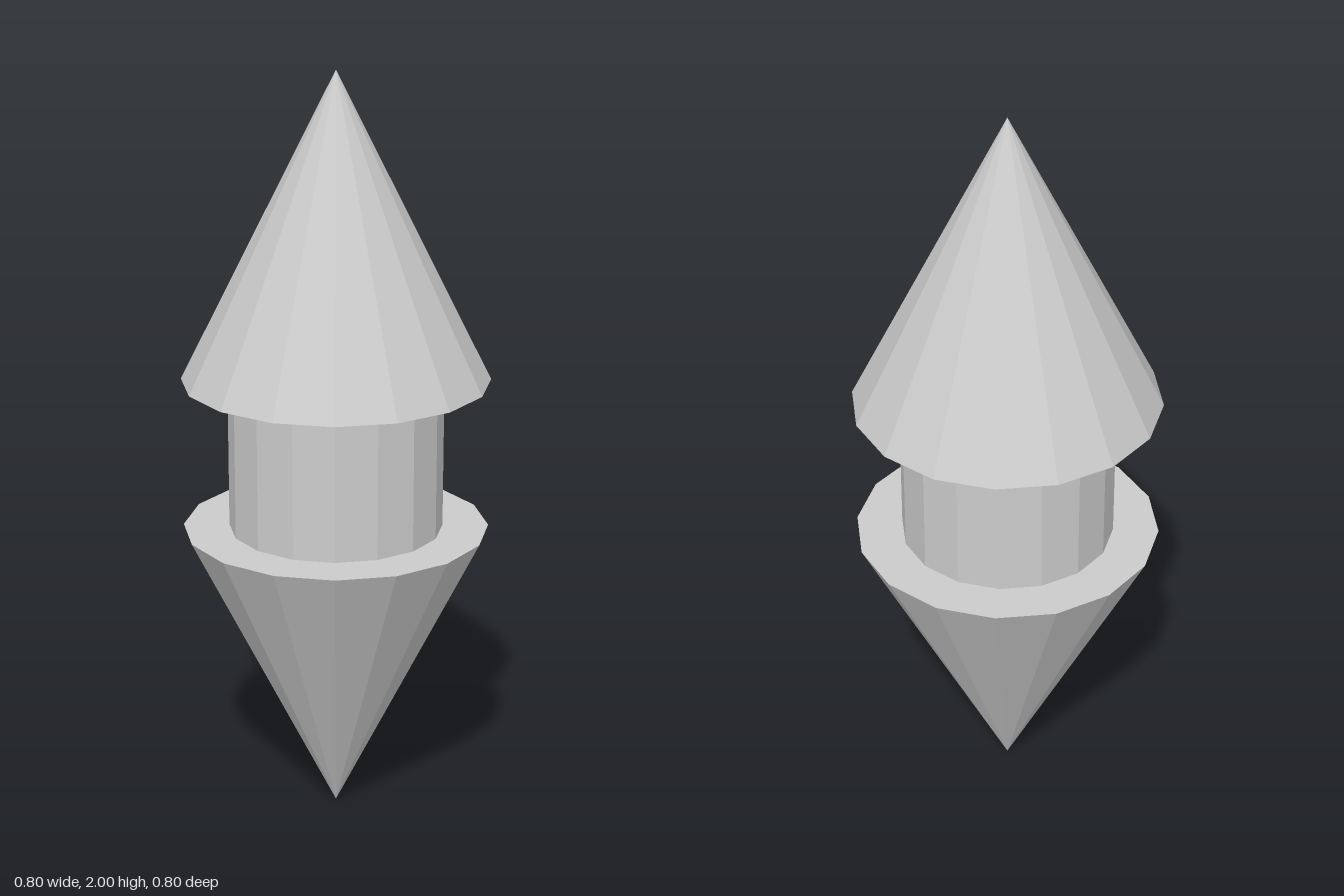
import * as THREE from 'three';

const SIDES = 16;

export function createModel() {
  const model = new THREE.Group();
  const material = new THREE.MeshStandardMaterial({ color: 0xcccccc, flatShading: true });

  function add(name, geometry, y) {
    const mesh = new THREE.Mesh(geometry, material);
    mesh.name = name;
    mesh.position.y = y;
    model.add(mesh);
    return mesh;
  }

  // Two matching cones, points outward
  add('upperCone', new THREE.ConeGeometry(0.4, 0.8, SIDES), 1.6);
  add('lowerCone', new THREE.ConeGeometry(0.4, 0.8, SIDES), 0.4).rotation.x = Math.PI;

  // Column joining the cone bases, its ends hidden against them
  add('column', new THREE.CylinderGeometry(0.28, 0.28, 0.4, SIDES, 1, true), 1);

  return model;
}
